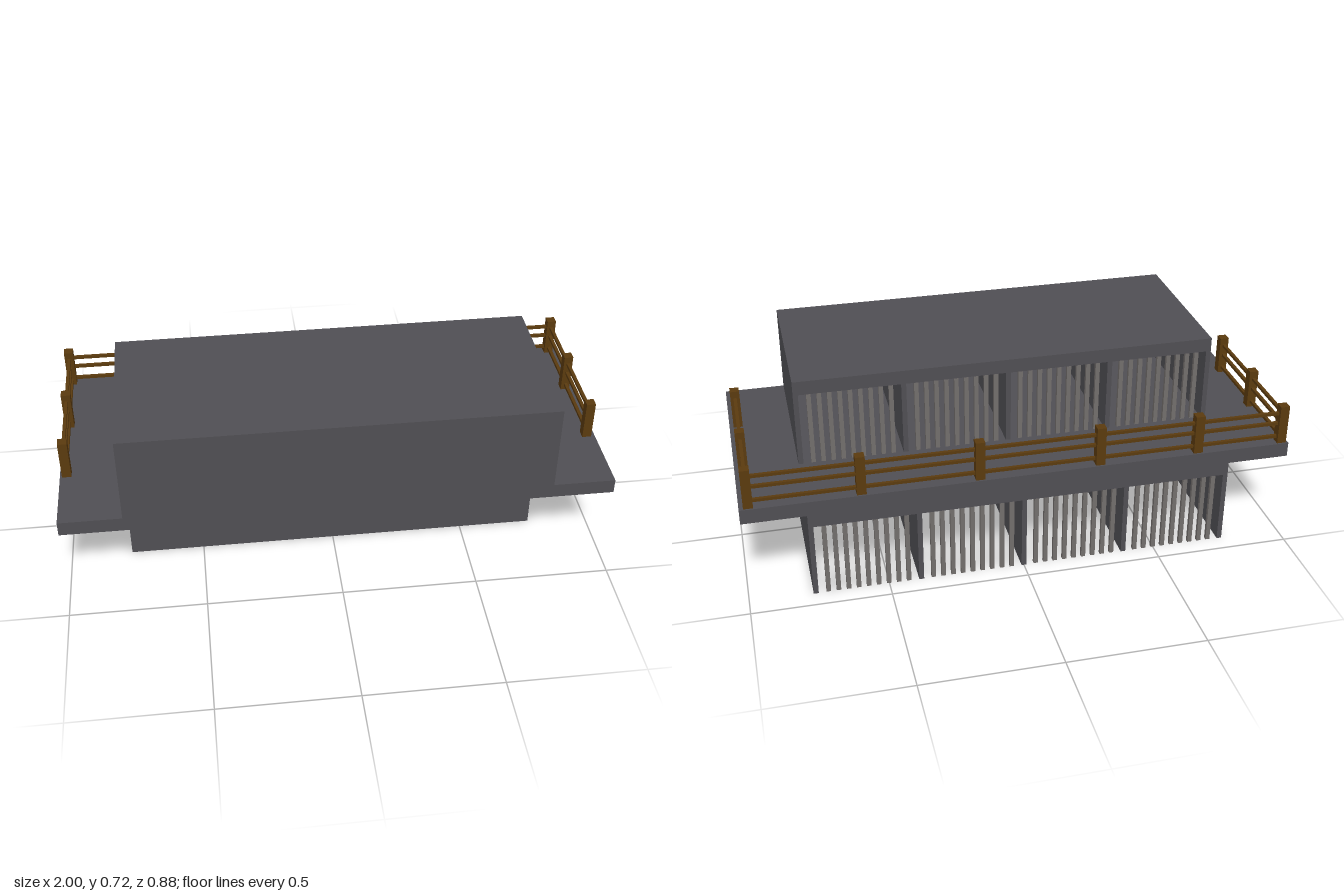
import * as THREE from 'three';

const concrete = new THREE.MeshStandardMaterial({ color: 0x4f4e53 });
concrete.name = 'dark concrete';
const steel = new THREE.MeshStandardMaterial({ color: 0x726e6c });
steel.name = 'bar steel';
const wood = new THREE.MeshStandardMaterial({ color: 0x5a3a0e });
wood.name = 'brown wood';

// Box given by its min and max corners
function box(parent, name, material, [x0, y0, z0], [x1, y1, z1]) {
  const mesh = new THREE.Mesh(new THREE.BoxGeometry(x1 - x0, y1 - y0, z1 - z0), material);
  mesh.position.set((x0 + x1) / 2, (y0 + y1) / 2, (z0 + z1) / 2);
  mesh.name = name;
  parent.add(mesh);
  return mesh;
}

// A row of four cells, barred at the back and open underneath
function cellRow(name, y0, y1, zBack, zFront) {
  const row = new THREE.Group();
  row.name = name;
  const W = 0.773, T = 0.018, ROOF = 0.03, CELLS = 4, BARS = 9;
  const top = y1 - ROOF, step = (2 * W - T) / CELLS;
  box(row, 'roof', concrete, [-W, top, zBack], [W, y1, zFront]);
  box(row, 'frontWall', concrete, [-W, y0, zFront - T], [W, top, zFront]);
  box(row, 'barHeader', concrete, [-W + T, top - 0.022, zBack], [W - T, top, zBack + T]);
  for (let i = 0; i <= CELLS; i++) {
    const x = -W + i * step;
    box(row, i % CELLS ? 'cellDivider' : 'endWall', concrete, [x, y0, zBack], [x + T, top, zFront - T]);
    if (i === CELLS) break;
    for (let b = 1; b <= BARS; b++) {
      const bx = x + T + (step - T) * b / (BARS + 1);
      box(row, 'cellBar', steel, [bx - 0.008, y0, zBack + 0.002], [bx + 0.008, top - 0.022, zBack + 0.016]);
    }
  }
  return row;
}

// Posts joined by three rails along a list of [x, z] points
function railing(points) {
  const fence = new THREE.Group();
  fence.name = 'railing';
  const P = 0.017;
  points.forEach(([x, z], i) => {
    box(fence, 'railingPost', wood, [x - P, 0.39, z - P], [x + P, 0.54, z + P]);
    if (!i) return;
    const [px, pz] = points[i - 1];
    for (const y of [0.413, 0.467, 0.508]) {
      const rail = new THREE.Mesh(new THREE.BoxGeometry(0.012, 0.011, Math.hypot(x - px, z - pz)), wood);
      rail.position.set((x + px) / 2, y, (z + pz) / 2);
      rail.rotation.y = Math.atan2(x - px, z - pz);
      rail.name = 'railingBar';
      fence.add(rail);
    }
  });
  return fence;
}

export function createModel() {
  const model = new THREE.Group();
  model.name = 'cellBlock';
  model.add(cellRow('lowerCells', 0, 0.335, -0.435, 0.188));
  box(model, 'walkwaySlab', concrete, [-1, 0.335, -0.44], [1, 0.39, 0.44]);
  model.add(cellRow('upperCells', 0.39, 0.72, -0.181, 0.44));
  model.add(railing([
    [-0.975, 0.17], [-0.975, -0.13], [-0.975, -0.417], [-0.65, -0.417], [-0.28, -0.417],
    [0.16, -0.417], [0.58, -0.417], [0.968, -0.417], [0.968, -0.155], [0.968, 0.158],
  ]));
  return model;
}
